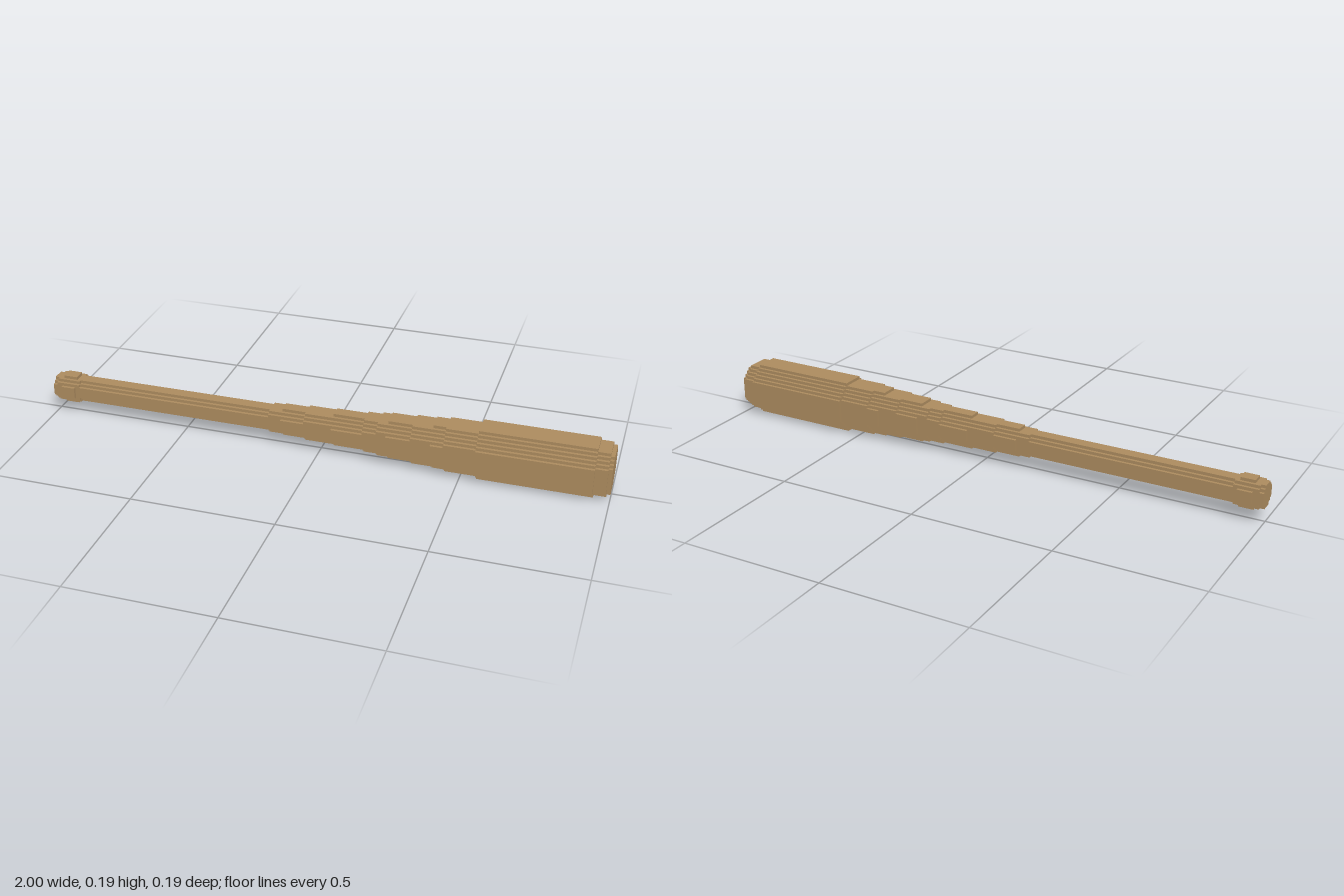
import * as THREE from 'three';

const CELL = 0.185 / 18; // size of one stair step

// Stepped octagon: half-width r cells, flat sides f cells from the middle, diagonal staircases between
function steppedOctagon(r, f) {
  const quarter = [[r, 0]];
  for (let a = r, b = f; a >= f; a--, b++) {
    quarter.push([a, b]);
    if (a > f) quarter.push([a - 1, b]);
  }
  quarter.push([0, r]);
  const points = [];
  for (let q = 0; q < 4; q++) {
    for (const [a, b] of quarter.slice(0, -1)) {
      let x = a, y = b;
      for (let i = 0; i < q; i++) [x, y] = [-y, x];
      points.push(new THREE.Vector2(x * CELL, y * CELL));
    }
  }
  return new THREE.Shape(points);
}

export function createModel() {
  const bat = new THREE.Group();
  bat.name = 'bat';
  const wood = new THREE.MeshStandardMaterial({ color: 0xab8a5e });
  wood.name = 'wood';

  // name, start x, end x, radius in cells, half flat in cells
  const sections = [
    ['knobEnd', -1, -0.985, 4, 2],
    ['knobBase', -0.985, -0.965, 4, 3],
    ['knob', -0.965, -0.915, 5, 2],
    ['knobCollar', -0.915, -0.9, 4, 3],
    ['handle', -0.9, -0.18, 4, 2],
    ['neck', -0.18, -0.135, 4, 3],
    ['taper1', -0.135, -0.05, 5, 2],
    ['taper2', -0.05, 0.05, 5, 3],
    ['taper3', 0.05, 0.16, 6, 2],
    ['taper4', 0.16, 0.21, 6, 3],
    ['taper5', 0.21, 0.245, 6, 4],
    ['taper6', 0.245, 0.33, 7, 3],
    ['taper7', 0.33, 0.4, 7, 4],
    ['taper8', 0.4, 0.445, 8, 3],
    ['taper9', 0.445, 0.555, 8, 4],
    ['barrel', 0.555, 0.945, 9, 4],
    ['barrelRim', 0.945, 0.987, 8, 4],
    ['barrelTip', 0.987, 1, 7, 4],
  ];

  for (const [name, start, end, r, f] of sections) {
    const geometry = new THREE.ExtrudeGeometry(steppedOctagon(r, f), {
      depth: end - start, bevelEnabled: false,
    });
    geometry.rotateY(Math.PI / 2);
    const mesh = new THREE.Mesh(geometry, wood);
    mesh.name = name;
    mesh.position.set(start, 9 * CELL, 0);
    bat.add(mesh);
  }
  return bat;
}
